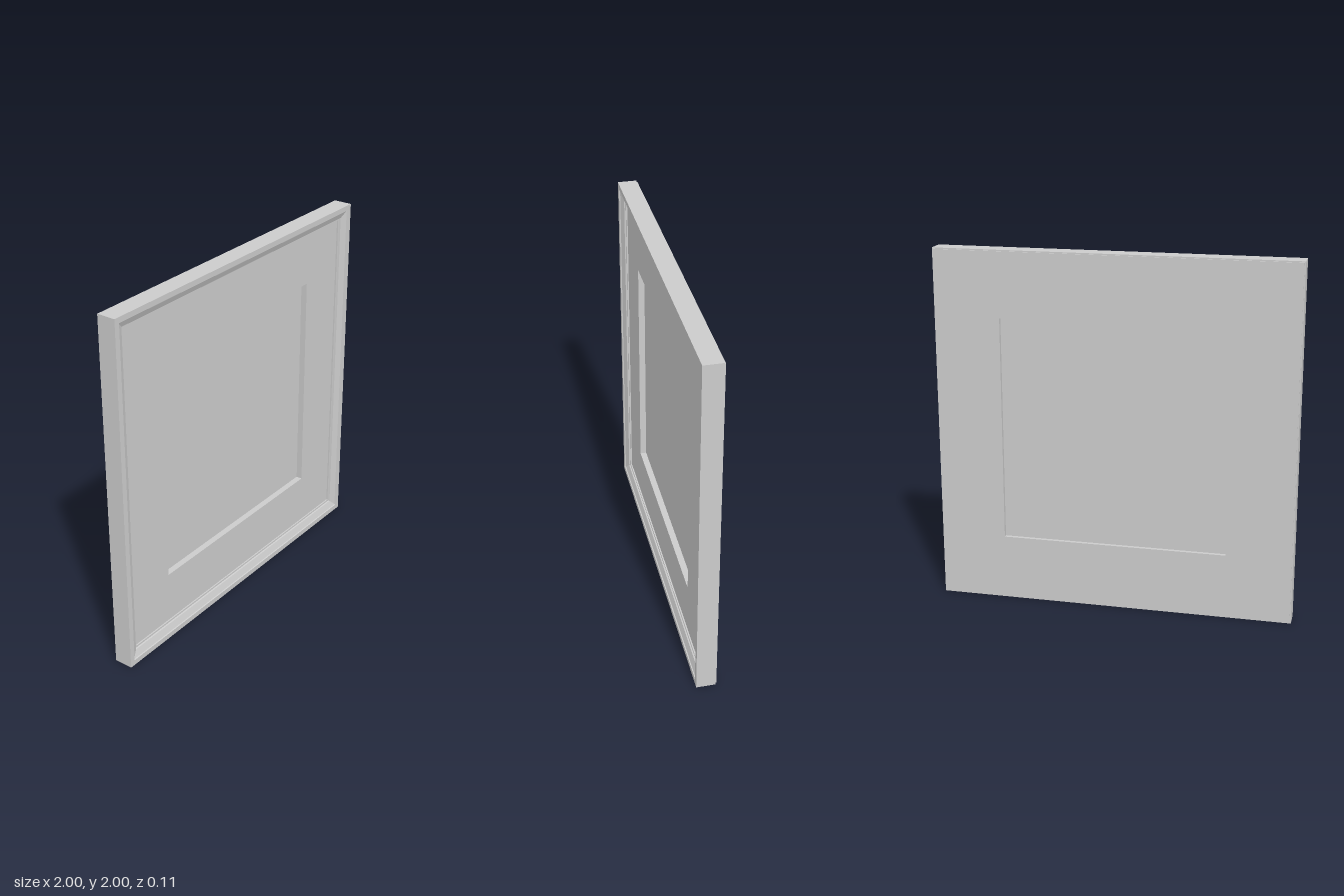
import * as THREE from 'three';

const material = new THREE.MeshStandardMaterial({ color: 0xcccccc, flatShading: true });

// Sweeps a closed [half-width, z] profile around a square with mitred corners.
function squareRing(name, profile) {
  const points = [...profile, profile[0]].map(([r, z]) => new THREE.Vector2(r * Math.SQRT2, z));
  const geometry = new THREE.LatheGeometry(points, 4);
  geometry.rotateY(Math.PI / 4);
  geometry.rotateX(Math.PI / 2);
  const mesh = new THREE.Mesh(geometry, material);
  mesh.name = name;
  mesh.position.y = 1;
  return mesh;
}

export function createModel() {
  const group = new THREE.Group();
  group.name = 'pictureFrame';

  // Moulded outer frame: flat rim, small step, slope and inner lip
  group.add(squareRing('frameMoulding', [
    [1, -0.05], [1, 0.055], [0.97, 0.055], [0.968, 0.049],
    [0.932, 0.034], [0.93, 0.026], [0.92, 0.026], [0.92, -0.05],
  ]));

  // Wide mat around the picture
  group.add(squareRing('mat', [
    [0.925, -0.05], [0.925, 0.018], [0.63, 0.018], [0.63, -0.05],
  ]));

  // Thin backing, set in slightly from the frame's edge
  group.add(squareRing('backing', [
    [0.993, -0.056], [0.993, -0.05], [0.63, -0.05], [0.63, -0.056],
  ]));

  // Picture panel, recessed on both sides
  const panel = new THREE.Mesh(new THREE.BoxGeometry(1.27, 1.27, 0.018), material);
  panel.name = 'picturePanel';
  panel.position.set(0, 1, -0.026);
  group.add(panel);

  return group;
}
